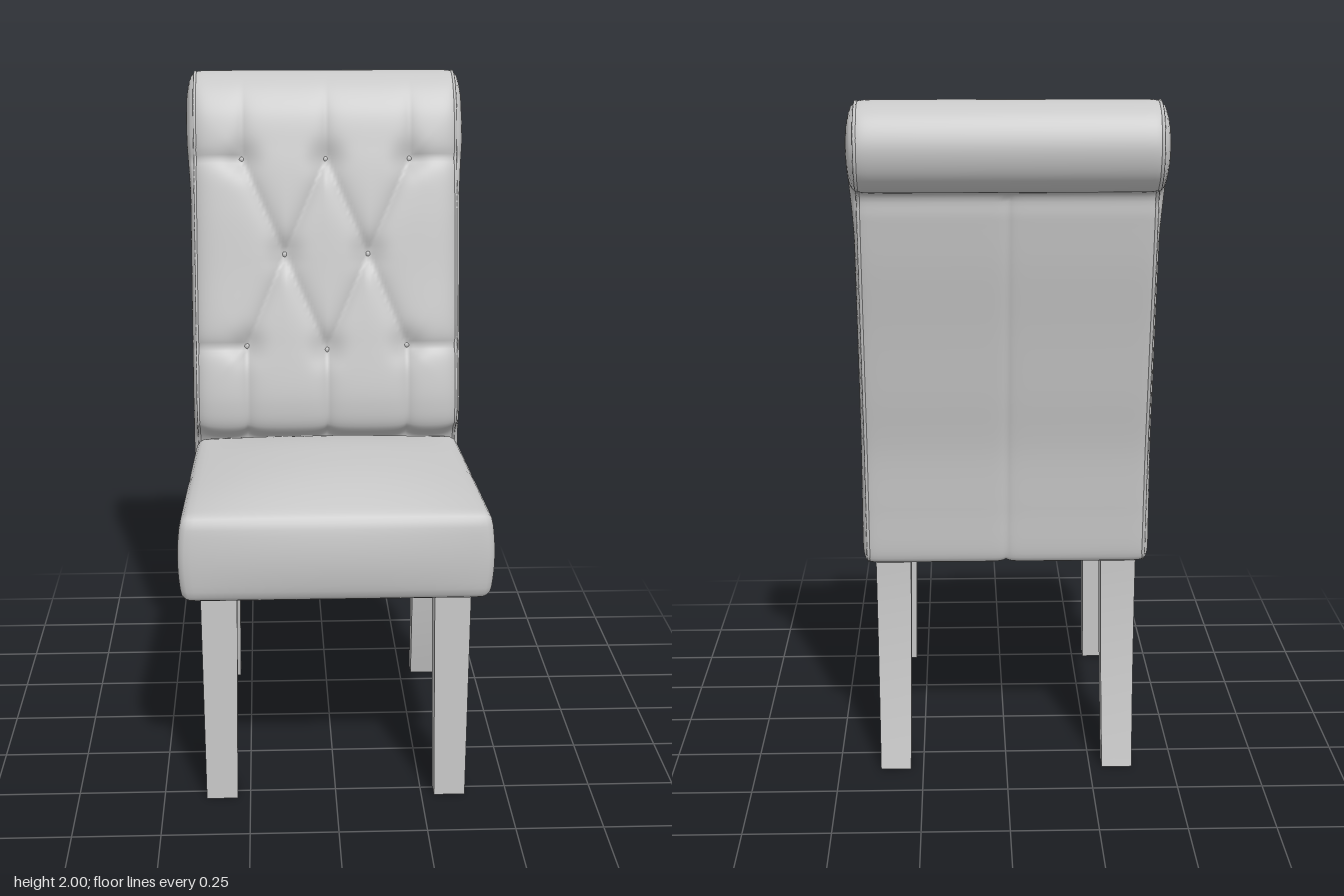
import * as THREE from 'three';
import { mergeVertices } from 'three/addons/utils/BufferGeometryUtils.js';

const W = 0.405; // half width of the backrest between its side seams

// Side outline of the backrest as [z, y]: up the front, over the roll, down the rear
const OUTLINE = [
  [-0.2, 0.64], [-0.19, 0.75], [-0.18, 0.87], [-0.13, 0.92], [-0.12, 1.0], [-0.155, 1.2], [-0.198, 1.4],
  [-0.238, 1.6], [-0.28, 1.77], [-0.325, 1.9], [-0.39, 1.975], [-0.47, 2.0], [-0.55, 1.97],
  [-0.588, 1.89], [-0.57, 1.81], [-0.52, 1.762], [-0.468, 1.745], [-0.458, 1.68], [-0.438, 1.55],
  [-0.4, 1.35], [-0.367, 1.16], [-0.335, 0.98], [-0.318, 0.8], [-0.304, 0.65], [-0.295, 0.635], [-0.21, 0.632],
];
// Middle line that the side panels close onto
const SPINE = [[-0.25, 0.7], [-0.235, 1], [-0.265, 1.2], [-0.305, 1.4], [-0.345, 1.6], [-0.39, 1.76], [-0.465, 1.875]];

// Tufting: button positions and the stitched folds between them, as x, y
const BUTTONS = [[-0.26, 1.75], [0, 1.75], [0.26, 1.75], [-0.13, 1.46], [0.13, 1.46], [-0.25, 1.18], [0, 1.17], [0.25, 1.18]];
const FOLDS = [[0, 1.75, 0, 1.97], [0, 1.17, 0, 0.88]];
for (const s of [-1, 1]) {
  FOLDS.push(
    [0, 1.75, s * 0.13, 1.46], [s * 0.13, 1.46, 0, 1.17],
    [s * 0.26, 1.75, s * 0.13, 1.46], [s * 0.13, 1.46, s * 0.25, 1.18],
    [s * 0.26, 1.75, s * 0.26, 1.97], [s * 0.25, 1.18, s * 0.25, 0.88],
    [s * 0.26, 1.75, s * W, 1.755], [s * 0.25, 1.18, s * W, 1.18],
  );
}

function closestOnSegment(px, py, ax, ay, bx, by) {
  const dx = bx - ax, dy = by - ay;
  const t = THREE.MathUtils.clamp(((px - ax) * dx + (py - ay) * dy) / (dx * dx + dy * dy), 0, 1);
  const x = ax + dx * t, y = ay + dy * t;
  return { x, y, d: Math.hypot(px - x, py - y) };
}

// Surface through rings of points, each ring closed
function loft(rings) {
  const n = rings[0].length, pos = [], idx = [];
  rings.forEach((r) => r.forEach((p) => pos.push(p.x, p.y, p.z)));
  for (let j = 0; j < rings.length - 1; j++) {
    for (let i = 0; i < n; i++) {
      const k = (i + 1) % n;
      const a = j * n + i, b = a + n, c = (j + 1) * n + k, d = j * n + k;
      idx.push(a, b, c, a, c, d);
    }
  }
  const g = new THREE.BufferGeometry();
  g.setAttribute('position', new THREE.Float32BufferAttribute(pos, 3));
  g.setIndex(idx);
  g.computeVertexNormals();
  return g;
}

// Box whose vertices are moved by a rule
function shapedBox(w, h, d, sx, sy, sz, rule, smooth) {
  let g = new THREE.BoxGeometry(w, h, d, sx, sy, sz);
  if (smooth) {
    g.deleteAttribute('uv');
    g.deleteAttribute('normal');
    g = mergeVertices(g);
  }
  const p = g.attributes.position, v = new THREE.Vector3();
  for (let i = 0; i < p.count; i++) {
    rule(v.fromBufferAttribute(p, i));
    p.setXYZ(i, v.x, v.y, v.z);
  }
  g.computeVertexNormals();
  return g;
}

export function createModel() {
  const group = new THREE.Group();
  const upholstery = new THREE.MeshStandardMaterial({ color: 0xc8c8c8 });
  upholstery.name = 'grey';
  const add = (name, geometry) => {
    const m = new THREE.Mesh(geometry, upholstery);
    m.name = name;
    group.add(m);
    return m;
  };

  // Sample the outline with outward normals
  const curve = new THREE.CatmullRomCurve3(OUTLINE.map(([z, y]) => new THREE.Vector3(0, y, z)), true, 'centripetal');
  const N = 240;
  const pts = curve.getSpacedPoints(N).slice(0, N);
  const top = pts.reduce((b, p, i) => (p.y > pts[b].y ? i : b), 0);
  const normals = pts.map((p, i) => {
    const t = pts[(i + 1) % N].clone().sub(pts[(i + N - 1) % N]).normalize();
    return new THREE.Vector3(0, -t.z, t.y);
  });

  // Backrest surface point: outline pushed in at folds, buttons and edges
  function backPoint(i, x) {
    const { y } = pts[i];
    let dent = 0.005 * Math.exp(-(W - Math.abs(x)) / 0.012);
    if (i < top && y > 0.8) {
      const fade = THREE.MathUtils.clamp((2 - y) / 0.25, 0, 1);
      let d = 1;
      for (const f of FOLDS) d = Math.min(d, closestOnSegment(x, y, ...f).d);
      let near = 1;
      for (const b of BUTTONS) near = Math.min(near, Math.hypot(x - b[0], y - b[1]));
      dent += fade * (0.017 * Math.exp(-d / 0.025) + 0.02 * Math.exp(-((near / 0.045) ** 2))
        + 0.022 * Math.exp(-(W - Math.abs(x)) / 0.035));
    } else if (i > top && pts[i].z > -0.47 && y < 1.75) {
      dent += 0.008 * Math.exp(-Math.abs(x) / 0.012); // rear centre seam
    }
    return pts[i].clone().addScaledVector(normals[i], -dent).setX(x);
  }
  const ringAt = (x) => pts.map((_, i) => backPoint(i, x));

  const COLS = 84, rings = [];
  for (let j = 0; j <= COLS; j++) rings.push(ringAt(-W + (2 * W * j) / COLS));
  add('backrest', loft(rings));

  // Padded side panels and piping
  for (const s of [-1, 1]) {
    const edge = ringAt(s * W);
    const mids = edge.map((p) => {
      let best = { d: 9 };
      for (let k = 0; k < SPINE.length - 1; k++) {
        const c = closestOnSegment(p.z, p.y, ...SPINE[k], ...SPINE[k + 1]);
        if (c.d < best.d) best = c;
      }
      return new THREE.Vector3(s * W, best.y, best.x);
    });
    const side = [];
    for (let k = 0; k <= 10; k++) {
      const t = k / 10;
      side.push(edge.map((p, i) => {
        const q = p.clone().lerp(mids[i], t);
        const swell = 0.018 + 0.012 * THREE.MathUtils.smoothstep(q.y, 1.6, 1.85);
        q.x += s * swell * Math.sqrt(1 - (1 - t) ** 2);
        return q;
      }));
    }
    add(s > 0 ? 'leftSidePanel' : 'rightSidePanel', loft(s > 0 ? side : side.reverse()));
    const path = new THREE.CatmullRomCurve3(edge.filter((_, i) => i % 3 === 0), true);
    add(s > 0 ? 'leftPiping' : 'rightPiping', new THREE.TubeGeometry(path, 160, 0.005, 6, true));
  }

  // Buttons
  for (const [x, y] of BUTTONS) {
    let near = 0;
    for (let i = 0; i < top; i++) if (Math.abs(pts[i].y - y) < Math.abs(pts[near].y - y)) near = i;
    const b = add('button', new THREE.SphereGeometry(0.009, 12, 8));
    b.position.copy(backPoint(near, x));
    b.scale.z = 0.6;
  }

  // Seat cushion: rounded box, wider at the front, with a crowned top
  const H = new THREE.Vector3(0.41, 0.128, 0.38), R = 0.028;
  add('seat', shapedBox(2 * H.x, 2 * H.y, 2 * H.z, 44, 14, 44, (v) => {
    const inner = v.clone().clamp(
      new THREE.Vector3(R - H.x, R - H.y, R - H.z), new THREE.Vector3(H.x - R, H.y - R, H.z - R));
    const out = v.clone().sub(inner);
    if (out.lengthSq() > 0) v.copy(inner).addScaledVector(out.normalize(), R);
    const a = v.x / H.x, b = v.y / H.y, c = v.z / H.z;
    const bulge = 1 - b * b;
    const seam = 0.008 * Math.exp(-Math.abs(v.z) / 0.02) * bulge;
    v.x += a * (0.012 + 0.013 * c + 0.012 * bulge - seam);
    if (b > 0) v.y += b * 0.055 * (1 - a * a) * (1 - Math.abs(c) ** 2.5);
    if (c > 0) v.z += c * 0.02 * bulge * (1 - 0.5 * a * a);
    v.y += 0.75;
    v.z += 0.19;
  }, true));
  const cover = add('underside', new THREE.BoxGeometry(0.74, 0.008, 0.68));
  cover.position.set(0, 0.621, 0.19);

  // Legs: tapered front pair, rear pair sweeping backwards
  for (const s of [-1, 1]) {
    const label = s > 0 ? 'Left' : 'Right';
    add('front' + label + 'Leg', shapedBox(1, 1, 1, 1, 1, 1, (v) => {
      const t = v.y + 0.5;
      v.set(s * 0.332 + v.x * (0.09 + 0.014 * t), t * 0.64, 0.513 - 0.017 * t + v.z * (0.064 + 0.016 * t));
    }));
    add('rear' + label + 'Leg', shapedBox(1, 1, 1, 1, 12, 1, (v) => {
      const t = v.y + 0.5;
      v.set(s * 0.332 + v.x * (0.09 + 0.014 * t), t * 0.66,
        -0.246 - 0.086 * (1 - t) ** 1.8 + v.z * (0.062 + 0.02 * t));
    }));
  }
  return group;
}
